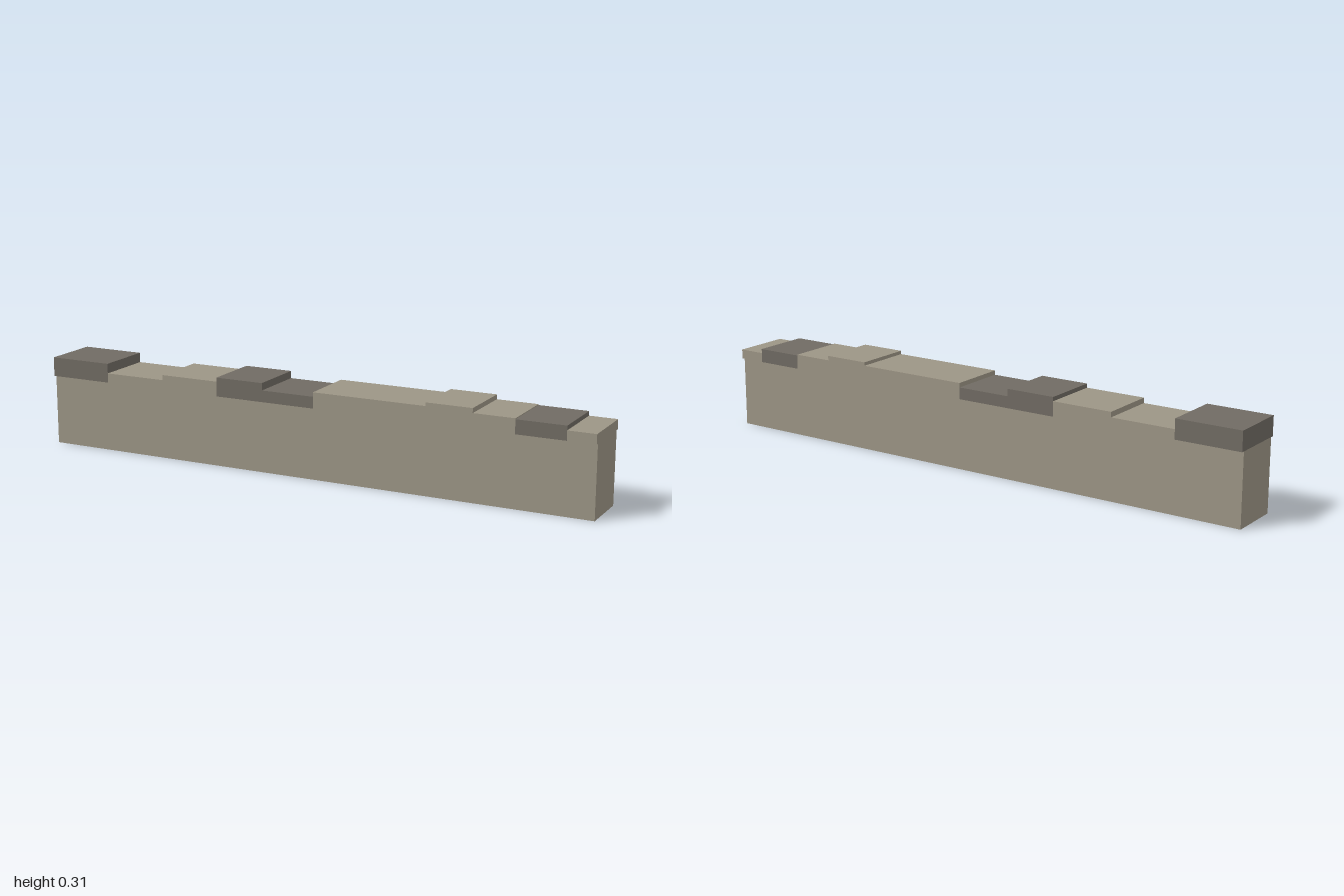
import * as THREE from 'three';

const BODY_TOP = 0.246, BODY_HALF = 0.091, CAP_HALF = 0.102;

export function createModel() {
  const stone = new THREE.MeshStandardMaterial({ color: 0x9c9585, side: THREE.DoubleSide });
  stone.name = 'lightStone';
  const darkStone = new THREE.MeshStandardMaterial({ color: 0x706b63 });
  darkStone.name = 'darkStone';

  const model = new THREE.Group();
  model.name = 'lowWall';

  // Hollow wall body: four upright faces, open underneath
  const body = new THREE.Group();
  body.name = 'wallBody';
  const addFace = (name, width, angle, distance) => {
    const geometry = new THREE.PlaneGeometry(width, BODY_TOP);
    geometry.translate(0, BODY_TOP / 2, distance);
    geometry.rotateY(angle);
    const face = new THREE.Mesh(geometry, stone);
    face.name = name;
    body.add(face);
  };
  addFace('frontFace', 2, 0, BODY_HALF);
  addFace('backFace', 2, Math.PI, BODY_HALF);
  addFace('leftEnd', BODY_HALF * 2, Math.PI / 2, 1);
  addFace('rightEnd', BODY_HALF * 2, -Math.PI / 2, 1);
  model.add(body);

  // Coping stones: start x, end x, top height, material
  const stones = [
    [-1, -0.772, 0.313, darkStone],
    [-0.772, -0.547, 0.279, stone],
    [-0.547, -0.333, 0.297, stone],
    [-0.333, -0.158, 0.311, darkStone],
    [-0.158, 0.033, 0.286, darkStone],
    [0.033, 0.434, 0.301, stone],
    [0.434, 0.595, 0.313, stone],
    [0.595, 0.737, 0.297, stone],
    [0.737, 0.905, 0.294, darkStone],
    [0.905, 1, 0.279, stone],
  ];
  const coping = new THREE.Group();
  coping.name = 'coping';
  stones.forEach(([x0, x1, top, material], i) => {
    const cap = new THREE.Mesh(
      new THREE.BoxGeometry(x1 - x0, top - BODY_TOP, CAP_HALF * 2), material);
    cap.position.set((x0 + x1) / 2, (top + BODY_TOP) / 2, 0);
    cap.name = `copingStone${i + 1}`;
    coping.add(cap);
  });
  model.add(coping);

  return model;
}
